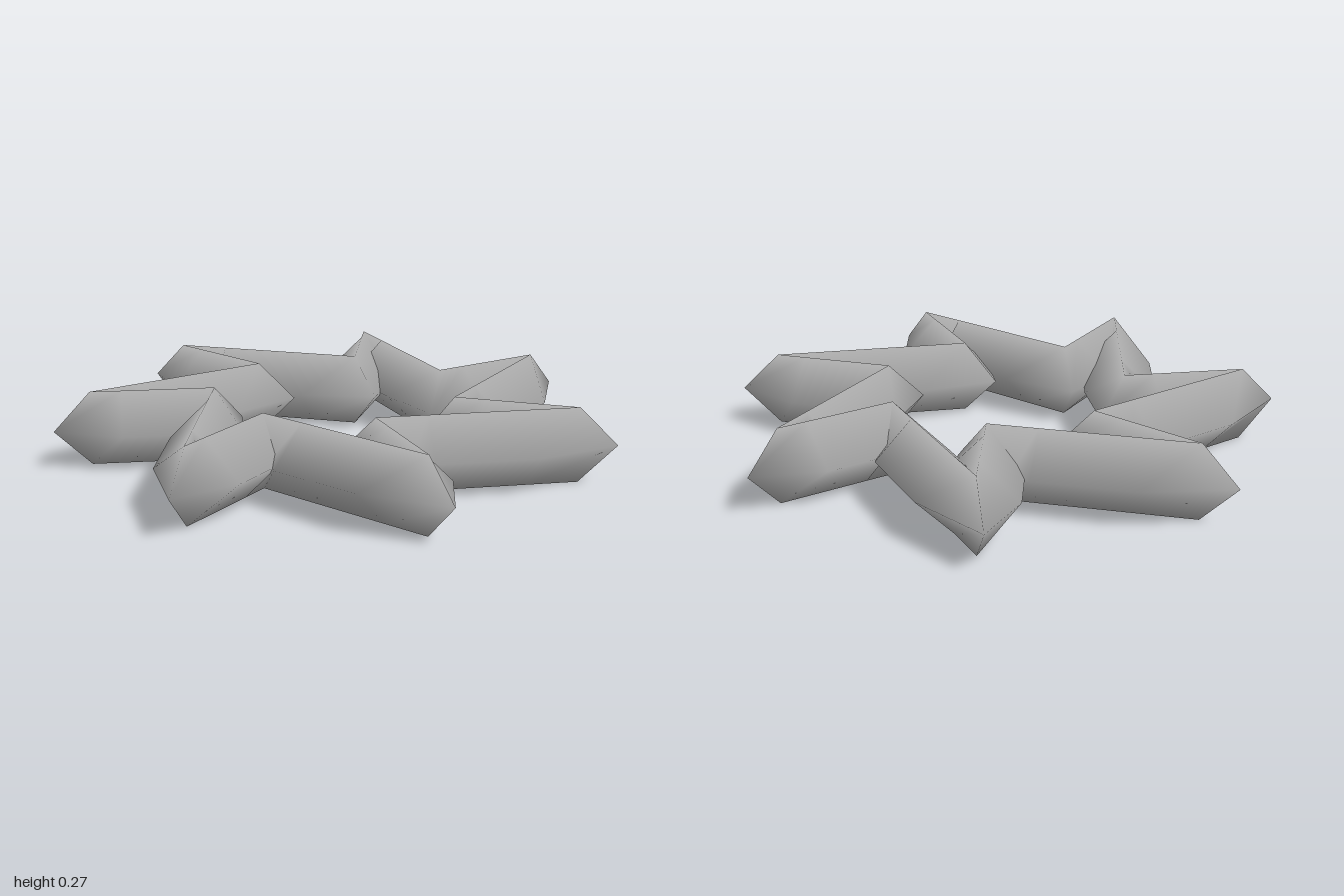
import * as THREE from 'three';

const POINTS = 7;
const RADIUS = 0.136;     // half thickness of the tube
const OUTER = 0.897;      // centreline radius at the outer corners
const INNER = 0.449;      // centreline radius at the inner corners
const STEP = (Math.PI * 2) / POINTS;
const LEAN = THREE.MathUtils.degToRad(53.2); // how far each inner corner swings past its tip

const polar = (r, a) => new THREE.Vector3(r * Math.cos(a), RADIUS, r * Math.sin(a));

// Rings of the closed zigzag: one at each corner, two along each arm
function zigzagRings() {
  const corners = [];
  for (let i = 0; i < POINTS; i++) {
    corners.push(polar(OUTER, i * STEP), polar(INNER, i * STEP + LEAN));
  }
  const rings = [];
  const count = corners.length;
  corners.forEach((corner, i) => {
    const next = corners[(i + 1) % count];
    const before = corners[(i + count - 1) % count];
    const out = next.clone().sub(corner).normalize();
    const into = corner.clone().sub(before).normalize();
    rings.push({ center: corner, tangent: into.add(out).normalize() });
    for (const t of [0.25, 0.75]) {
      rings.push({ center: corner.clone().lerp(next, t), tangent: out });
    }
  });
  return rings;
}

// Four-sided tube with soft normals swept through the rings
function sweepTube(rings, sides) {
  const positions = [], normals = [], index = [];
  for (const { center, tangent } of rings) {
    const side = new THREE.Vector3(tangent.z, 0, -tangent.x);
    for (let j = 0; j < sides; j++) {
      const a = (j / sides) * Math.PI * 2;
      const n = side.clone().multiplyScalar(Math.cos(a));
      n.y = Math.sin(a);
      normals.push(n.x, n.y, n.z);
      positions.push(...n.multiplyScalar(RADIUS).add(center).toArray());
    }
  }
  for (let i = 0; i < rings.length; i++) {
    const k = (i + 1) % rings.length;
    for (let j = 0; j < sides; j++) {
      const m = (j + 1) % sides;
      const a = i * sides + j, b = i * sides + m, c = k * sides + j, d = k * sides + m;
      index.push(a, b, c, b, d, c);
    }
  }
  const geometry = new THREE.BufferGeometry();
  geometry.setAttribute('position', new THREE.Float32BufferAttribute(positions, 3));
  geometry.setAttribute('normal', new THREE.Float32BufferAttribute(normals, 3));
  geometry.setIndex(index);
  return geometry;
}

export function createModel() {
  const group = new THREE.Group();
  group.name = 'starRing';
  const grey = new THREE.MeshStandardMaterial({ color: 0xb0b0b0, side: THREE.DoubleSide });
  grey.name = 'grey';

  const tube = new THREE.Mesh(sweepTube(zigzagRings(), 4), grey);
  tube.name = 'zigzagTube';
  tube.position.set(-0.046, 0, -0.011); // centres the odd-pointed star
  group.add(tube);
  return group;
}
